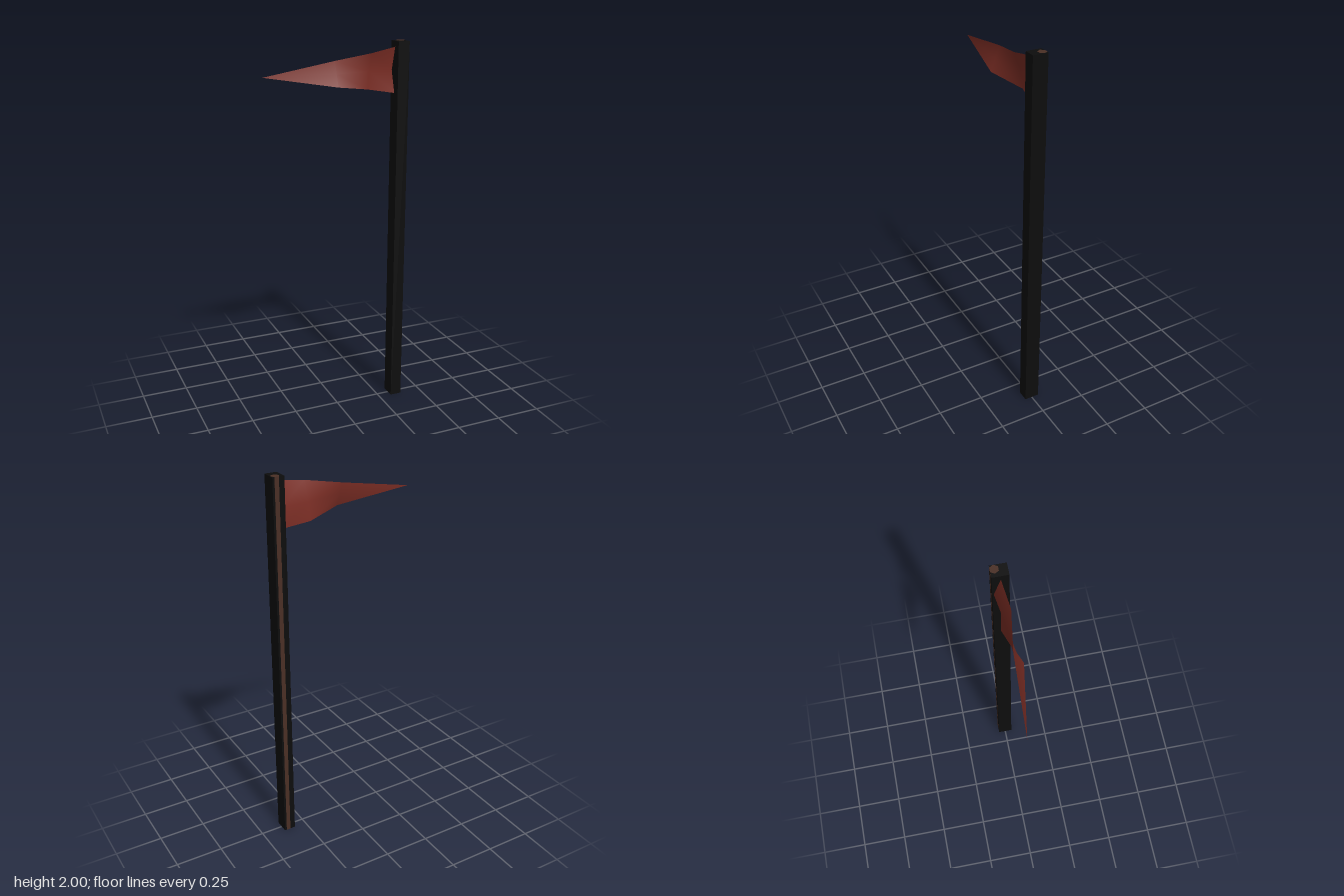
import * as THREE from 'three';

export function createModel() {
  const group = new THREE.Group();
  const black = new THREE.MeshStandardMaterial({ color: 0x0d0d0d });
  black.name = 'black casing';
  const brown = new THREE.MeshStandardMaterial({ color: 0x4a2f25, flatShading: true });
  brown.name = 'brown wood';
  const red = new THREE.MeshStandardMaterial({ color: 0x7d2e25, side: THREE.DoubleSide });
  red.name = 'red cloth';

  const add = (name, geometry, material, x = 0, y = 0, z = 0) => {
    const mesh = new THREE.Mesh(geometry, material);
    mesh.name = name;
    mesh.position.set(x, y, z);
    group.add(mesh);
  };

  // Square post around a slim hexagonal core that shows at its ends and back
  add('post', new THREE.BoxGeometry(0.062, 1.998, 0.08), black, 0.349, 1, 0);
  const core = new THREE.CylinderGeometry(0.0225, 0.0225, 2, 6).rotateY(Math.PI / 2);
  add('core', core, brown, 0.3575, 1, -0.021);

  // Rippled pennant: columns of [x, z at top edge, z at middle, z at bottom edge]
  const columns = [
    [0.33, 0, -0.035, 0],
    [0.18, 0.02, -0.013, -0.028],
    [-0.01, -0.008, 0.016, 0.04],
    [-0.385, -0.022, -0.022, -0.022],
  ];
  const positions = [];
  const indices = [];
  columns.forEach(([x, ...depths], i) => {
    const t = (x + 0.385) / 0.705;
    const heights = [1.85 + 0.12 * t, 1.85, 1.85 - 0.115 * t];
    depths.forEach((z, j) => positions.push(x, heights[j], z));
    if (i === 0) return;
    for (let j = 0; j < 2; j++) {
      const a = (i - 1) * 3 + j;
      const b = i * 3 + j;
      indices.push(a, b, a + 1);
      if (i < columns.length - 1) indices.push(b, b + 1, a + 1);
    }
  });
  const cloth = new THREE.BufferGeometry();
  cloth.setAttribute('position', new THREE.Float32BufferAttribute(positions, 3));
  cloth.setIndex(indices);
  cloth.computeVertexNormals();
  // The three tip points coincide, so give them one shared normal
  const normals = cloth.attributes.normal;
  for (let k = 9; k < 12; k++) normals.setXYZ(k, -0.1, 0.1, 0.99);
  add('pennant', cloth, red);

  return group;
}
